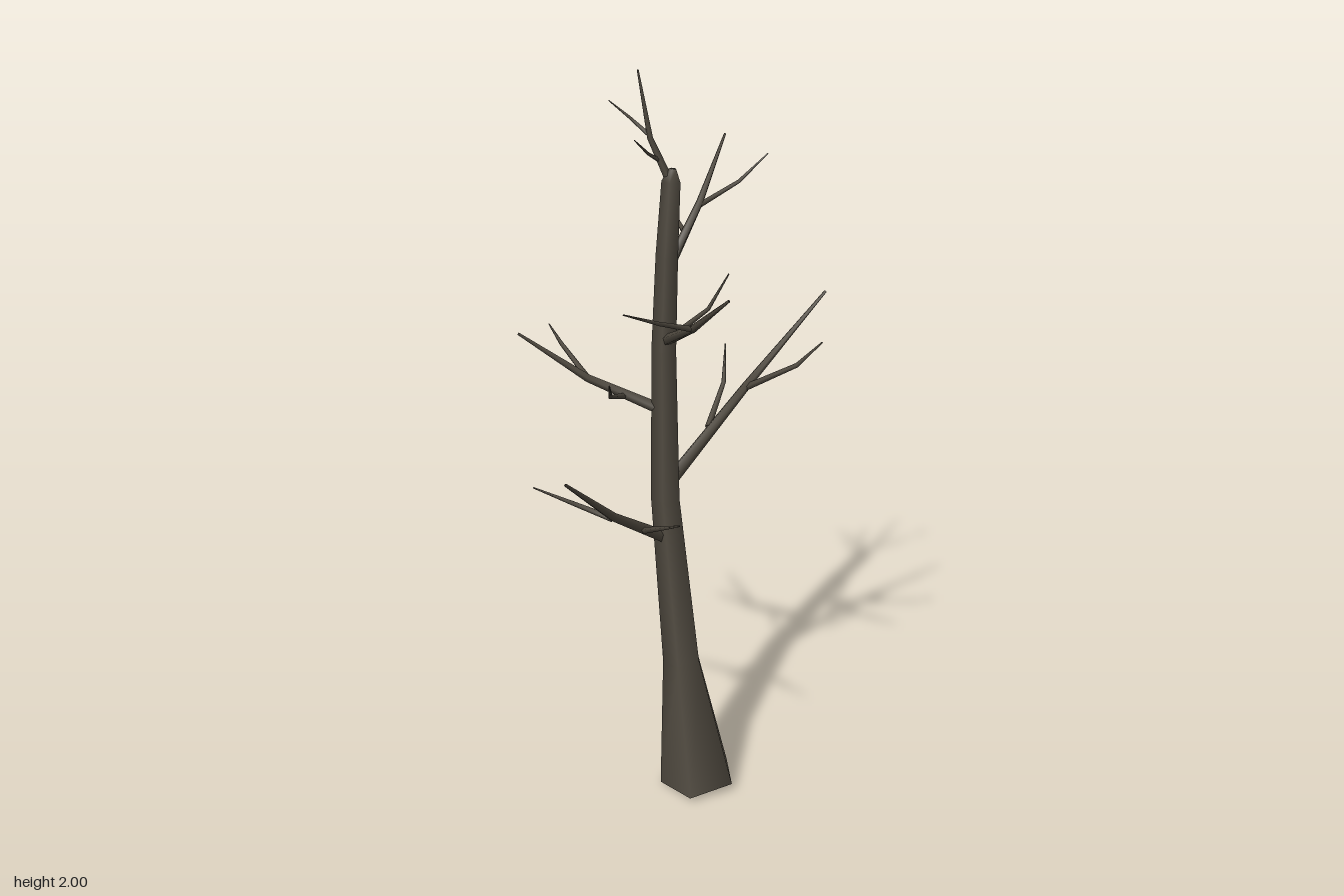
import * as THREE from 'three';

const bark = new THREE.MeshStandardMaterial({ color: 0x4f493f, side: THREE.DoubleSide });
bark.name = 'dark bark';

// Tapered limb: rings of `sides` corners swept along points [x, y, z, radius]
function limb(name, pts, sides, ref) {
  const centres = pts.map(p => new THREE.Vector3(p[0], p[1], p[2]));
  const pos = [], index = [];
  centres.forEach((c, i) => {
    const t = centres[Math.min(i + 1, pts.length - 1)].clone()
      .sub(centres[i === 1 || i === 0 ? 0 : i - 1]).normalize();
    const u = ref.clone().addScaledVector(t, -ref.dot(t)).normalize();
    const w = t.clone().cross(u);
    for (let j = 0; j < sides; j++) {
      const a = (j / sides) * Math.PI * 2;
      const v = c.clone().addScaledVector(u, Math.cos(a) * pts[i][3]).addScaledVector(w, Math.sin(a) * pts[i][3]);
      pos.push(v.x, v.y, v.z);
      if (i < pts.length - 1) {
        const k = i * sides, n = (j + 1) % sides;
        index.push(k + j, k + n, k + sides + n, k + j, k + sides + n, k + sides + j);
      }
    }
  });
  // close the far end
  const last = (pts.length - 1) * sides;
  for (let j = 1; j < sides - 1; j++) index.push(last, last + j, last + j + 1);
  const g = new THREE.BufferGeometry();
  g.setAttribute('position', new THREE.Float32BufferAttribute(pos, 3));
  g.setIndex(index);
  g.computeVertexNormals();
  const mesh = new THREE.Mesh(g, bark);
  mesh.name = name;
  return mesh;
}

// Three-point branch or twig, thinning from r to a fine tip
function branch(name, r, a, b, c) {
  const mid = b || a.map((v, i) => (v + c[i]) / 2);
  return limb(name, [[...a, r], [...mid, r * 0.68], [...c, r * 0.22]], 5, new THREE.Vector3(0.1, 1, 0.05));
}

// Each bough: main branch, then its twigs, as [start, middle, tip]
const boughs = {
  frontBough: [0.018,
    [[0, 0.765, 0.02], [0.05, 0.915, 0.23], [0.1, 1.085, 0.415]],
    [[0.04, 0.835, 0.12], [0.16, 0.905, 0.165], [0.287, 0.98, 0.215]],
    [[0.046, 0.91, 0.23], null, [-0.115, 0.98, 0.36]]],
  backBough: [0.018,
    [[0.005, 0.94, -0.01], [0.058, 1.16, -0.215], [0.14, 1.4, -0.417]],
    [[0.058, 1.155, -0.215], [0.2, 1.25, -0.26], [0.263, 1.325, -0.283]],
    [[0.028, 1.06, -0.11], [-0.05, 1.13, -0.235], [-0.11, 1.21, -0.295]]],
  rightBough: [0.016,
    [[-0.015, 1.13, 0.01], [-0.15, 1.215, 0.15], [-0.268, 1.335, 0.28]],
    [[-0.15, 1.215, 0.15], [-0.28, 1.27, 0.137], [-0.352, 1.3, 0.122]],
    [[-0.08, 1.17, 0.09], [-0.013, 1.215, 0.185], [0.035, 1.27, 0.225]]],
  leftBough: [0.015,
    [[-0.005, 1.325, 0.01], [0.17, 1.42, 0.075], [0.35, 1.55, 0.124]],
    [[0.17, 1.42, 0.075], [0.192, 1.47, 0.2], [0.212, 1.525, 0.32]],
    [[0.08, 1.38, 0.04], [0.15, 1.45, 0.005], [0.205, 1.55, -0.01]]],
  upperBackBough: [0.014,
    [[-0.01, 1.52, -0.01], [-0.037, 1.65, -0.13], [-0.078, 1.8, -0.252]],
    [[-0.037, 1.645, -0.13], [0.01, 1.7, -0.22], [0.04, 1.765, -0.29]],
    [[-0.03, 1.585, -0.075], null, [-0.168, 1.62, -0.136]]],
  topBough: [0.011,
    [[-0.003, 1.73, -0.005], [-0.035, 1.84, 0.032], [-0.055, 2, 0.052]],
    [[-0.035, 1.845, 0.032], [-0.08, 1.885, 0.058], [-0.132, 1.92, 0.08]],
    [[-0.022, 1.785, 0.015], [-0.008, 1.81, 0.06], [0.01, 1.855, 0.118]]],
};

export function createModel() {
  const tree = new THREE.Group();
  tree.name = 'bareTree';

  // Bent five-sided trunk, open at the foot and pinched at the top
  tree.add(limb('trunk', [
    [0.105, 0.015, -0.019, 0.11], [0.056, 0.4, 0.002, 0.054], [-0.006, 0.88, 0.007, 0.041],
    [-0.013, 1.3, 0.006, 0.034], [-0.008, 1.55, 0, 0.03], [0, 1.735, -0.006, 0.025], [0.002, 1.765, -0.008, 0.01],
  ], 5, new THREE.Vector3(0, 0, -1)));

  for (const [name, [r, main, ...twigs]] of Object.entries(boughs)) {
    const group = new THREE.Group();
    group.name = name;
    group.add(branch('branch', r, ...main));
    twigs.forEach(t => group.add(branch('twig', r * 0.52, ...t)));
    tree.add(group);
  }
  return tree;
}
